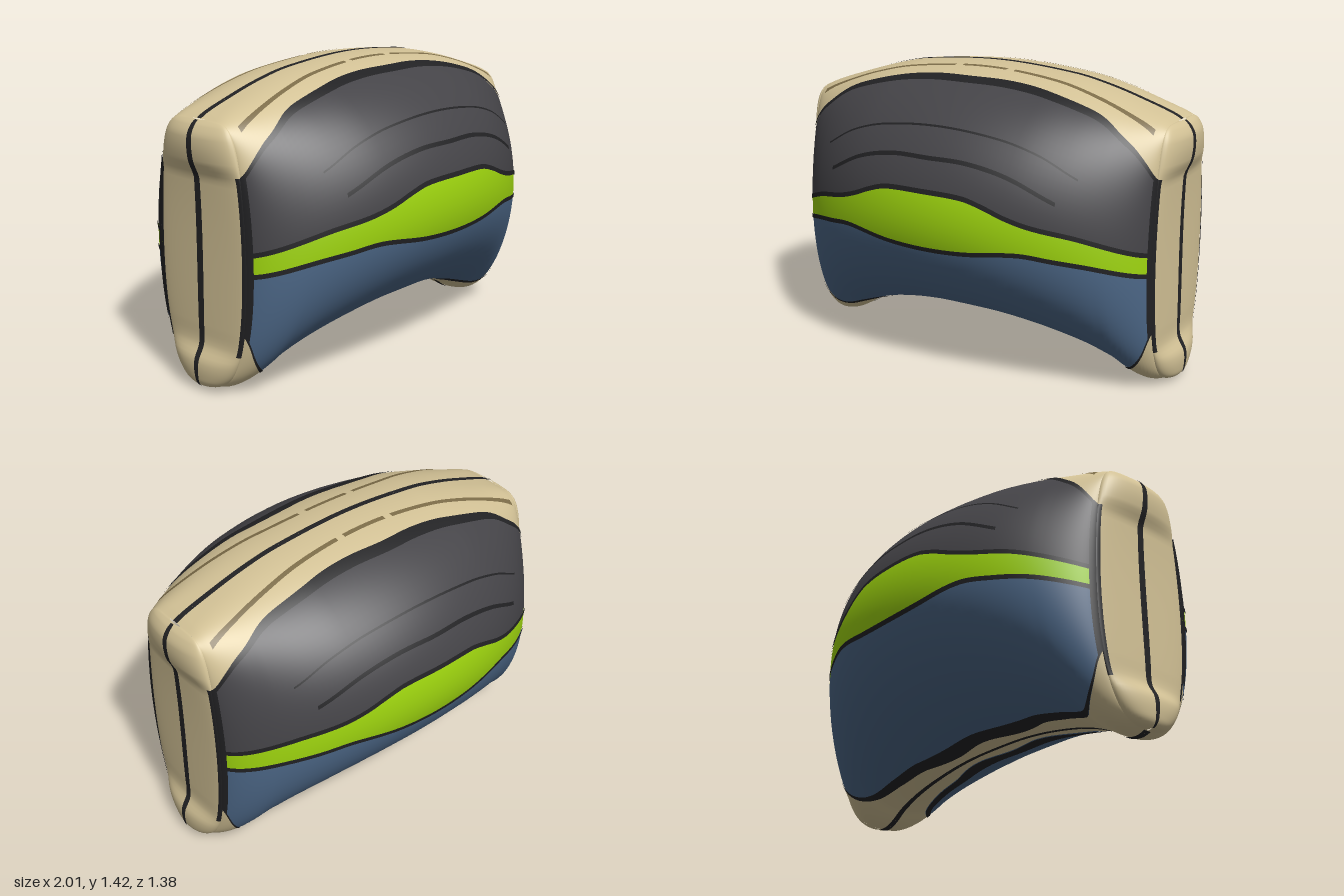
import * as THREE from 'three';

const mat = (name, color) => new THREE.MeshStandardMaterial({ name, color });

// smooth even function of x through a few [x, y] knots
function curve(...pts) {
  const slope = (i) => {
    const a = pts[Math.max(i - 1, 0)], b = pts[Math.min(i + 1, pts.length - 1)];
    return i === 0 ? 0 : (b[1] - a[1]) / (b[0] - a[0]);
  };
  return (x) => {
    const ax = Math.min(Math.abs(x), pts[pts.length - 1][0]);
    let i = 0;
    while (i < pts.length - 2 && ax > pts[i + 1][0]) i++;
    const [x0, y0] = pts[i], [x1, y1] = pts[i + 1], h = x1 - x0, t = (ax - x0) / h;
    const t2 = t * t, t3 = t2 * t;
    return y0 * (2 * t3 - 3 * t2 + 1) + y1 * (3 * t2 - 2 * t3)
      + h * (slope(i) * (t3 - 2 * t2 + t) + slope(i + 1) * (t3 - t2));
  };
}

// outline of the body
const END = 0.94;
const topY = curve([0, 1.412], [0.4, 1.385], [0.6, 1.345], [0.8, 1.285], [0.9, 1.25], [0.95, 1.225]);
const bottomY = curve([0, 0.2], [0.2, 0.195], [0.4, 0.17], [0.6, 0.125], [0.74, 0.07], [0.8, 0.03], [0.85, 0.006], [0.9, 0], [0.95, 0.015]);
// panel borders
const panelTop = curve([0, 1.36], [0.2, 1.355], [0.4, 1.33], [0.6, 1.28], [0.7, 1.24], [0.8, 1.17], [0.85, 1.13], [0.9, 1.07], [0.94, 1.0]);
const panelBottom = curve([0, 0.207], [0.4, 0.178], [0.6, 0.138], [0.75, 0.092], [0.8, 0.085], [0.85, 0.11], [0.9, 0.18], [0.94, 0.3]);
const stripeBottom = curve([0, 0.655], [0.2, 0.662], [0.45, 0.687], [0.6, 0.668], [0.75, 0.64], [0.94, 0.58]);
const stripeTop = curve([0, 0.925], [0.2, 0.918], [0.3, 0.89], [0.4, 0.85], [0.5, 0.818], [0.7, 0.77], [0.94, 0.675]);
const foldLow = curve([0, 1.065], [0.2, 1.06], [0.4, 1.015], [0.6, 0.92]);
const foldHigh = curve([0, 1.19], [0.3, 1.165], [0.5, 1.11], [0.67, 1.02]);
const topFoldZ = curve([0, 0.135], [0.3, 0.145], [0.6, 0.175], [0.9, 0.205]);
// bulge of the end walls against height: feet and shoulders stand out
const endBulge = curve([0, 0], [0.02, 0.042], [0.06, 0.06], [0.14, 0.06], [0.21, 0.026], [0.3, 0.022],
  [0.97, 0.022], [1.06, 0.055], [1.16, 0.06], [1.21, 0.035], [1.237, 0]);

// half section at x: angle 0 is the bottom, PI the top
function shell(x, angle) {
  const v = (1 - Math.cos(angle)) / 2, s = Math.max(Math.sin(angle), 0);
  const w = Math.pow(Math.max(1 - (x / 0.942) ** 2, 0), 0.65);
  const middle = 0.69 * Math.pow(s, v < 0.5 ? 1.08 : 1);
  const end = 0.26 * Math.pow(s, 0.65 - 0.35 * v);
  const y0 = bottomY(x);
  return new THREE.Vector3(x, y0 + (topY(x) - y0) * v, end + (middle - end) * w);
}
const angleAtY = (x, y) => {
  const y0 = bottomY(x);
  return Math.acos(THREE.MathUtils.clamp(1 - 2 * (y - y0) / (topY(x) - y0), -1, 1));
};
function angleAtZ(x, z) {
  let a = Math.PI / 2, b = Math.PI;
  for (let i = 0; i < 30; i++) {
    const m = (a + b) / 2;
    if (shell(x, m).z > z) a = m; else b = m;
  }
  return a;
}
// rounded end wall
function endWall(angle, phi) {
  const p = shell(END, angle);
  return new THREE.Vector3(END + Math.max(endBulge(p.y), 0) * Math.cos(phi), p.y, p.z * Math.sin(phi));
}

// grid over fn(u, v) with v running from lo(u) to hi(u), optionally mirrored
function sheet(fn, us, lo, hi, rows, lift = 0, mx = 1, mz = 1) {
  const pos = [], nor = [], idx = [], e = 0.0005;
  for (const u of us) {
    for (let j = 0; j <= rows; j++) {
      const v = lo(u) + (hi(u) - lo(u)) * j / rows;
      const vc = THREE.MathUtils.clamp(v, 0.004 - Math.PI, Math.PI - 0.004);
      const vn = fn === shell ? Math.max(vc, 0.004) : vc;
      const du = fn(u + e, vn).sub(fn(u - e, vn));
      const dv = fn(u, vn + e).sub(fn(u, vn - e));
      const n = du.cross(dv).normalize();
      const p = fn(u, v).addScaledVector(n, lift);
      pos.push(p.x * mx, p.y, p.z * mz);
      nor.push(n.x * mx, n.y, n.z * mz);
    }
  }
  const R = rows + 1;
  for (let i = 0; i < us.length - 1; i++) {
    for (let j = 0; j < rows; j++) {
      const a = i * R + j, b = a + R, c = b + 1, d = a + 1;
      if (mx * mz > 0) idx.push(a, b, c, a, c, d);
      else idx.push(a, c, b, a, d, c);
    }
  }
  const g = new THREE.BufferGeometry();
  g.setAttribute('position', new THREE.Float32BufferAttribute(pos, 3));
  g.setAttribute('normal', new THREE.Float32BufferAttribute(nor, 3));
  g.setIndex(idx);
  return g;
}

const range = (a, b, n) => Array.from({ length: n + 1 }, (_, i) => a + (b - a) * i / n);

export function createModel() {
  const tan = mat('tan', 0xd3c296), grey = mat('charcoal', 0x454448), green = mat('lime', 0x9fd60f);
  const blue = mat('slate blue', 0x4d6888), black = mat('black', 0x222224), brown = mat('brown', 0x7c6c48);
  const group = new THREE.Group();
  const add = (name, geometry, material) => {
    const m = new THREE.Mesh(geometry, material);
    m.name = name;
    group.add(m);
  };
  const columns = range(-Math.PI / 2, Math.PI / 2, 80).map((t) => END * Math.sin(t));
  const at = (f, d = 0) => (x) => angleAtY(x, f(x) + d);
  const zero = () => 0, full = () => Math.PI;

  for (const mz of [1, -1]) {
    const side = mz > 0 ? 'front' : 'back';
    const part = (name, m, lo, hi, rows, lift = 0, us = columns) =>
      add(side + name, sheet(shell, us, lo, hi, rows, lift, 1, mz), m);

    // coloured bands from the base to the crown
    part('BottomBand', tan, zero, at(panelBottom), 14);
    part('LowerPanel', blue, at(panelBottom), at(stripeBottom), 16);
    part('Stripe', green, at(stripeBottom), at(stripeTop), 8);
    part('UpperPanel', grey, at(stripeTop), at(panelTop), 16);
    part('TopBand', tan, at(panelTop), full, 20);

    // piping along the panel borders
    for (const f of [panelBottom, stripeBottom, stripeTop, panelTop])
      part('Piping', black, at(f, f === panelBottom ? 0 : -0.011), at(f, f === panelBottom ? 0.016 : 0.011), 2, 0.004);
    for (const s of [-1, 1])
      part('EndPiping', black, at(panelBottom), at(panelTop), 24, 0.004, range(0.928, END, 3).map((x) => x * s).sort((a, b) => a - b));

    // folds on the upper panel and the crown
    part('LowFold', black, at(foldLow, -0.009), at(foldLow, 0.009), 2, 0.004, range(-0.6, 0.6, 50));
    part('HighFold', black, at(foldHigh, -0.004), at(foldHigh, 0.004), 2, 0.004, range(-0.67, 0.67, 50));
    for (const [a, b] of [[-0.9, -0.16], [-0.12, 0.12], [0.16, 0.9]])
      part('TopFold', brown, (x) => angleAtZ(x, topFoldZ(x) + 0.011), (x) => angleAtZ(x, topFoldZ(x) - 0.011), 2, 0.003, range(a, b, 24));

    // seam over the crown and under the base
    part('TopSeam', black, (x) => angleAtZ(x, 0.014), full, 3, 0.004);
    part('BottomSeam', black, zero, () => 0.02, 2, 0.004);
  }

  // end walls with piping and a central seam
  for (const mx of [1, -1]) {
    const side = mx > 0 ? 'left' : 'right';
    const wall = (name, m, a0, a1, p0, p1, rows, lift = 0) =>
      add(side + name, sheet(endWall, range(a0, a1, 70), () => p0, () => p1, rows, lift, mx), m);
    wall('EndWall', tan, 0.002, Math.PI - 0.002, -Math.PI / 2, Math.PI / 2, 24);
    wall('EndSeam', black, 0.1, Math.PI - 0.1, -0.07, 0.07, 2, 0.003);
    wall('FrontEdgePiping', black, 0.8, 2.26, 1.19, Math.PI / 2, 4, 0.003);
    wall('BackEdgePiping', black, 0.8, 2.26, -Math.PI / 2, -1.19, 4, 0.003);
  }
  return group;
}
